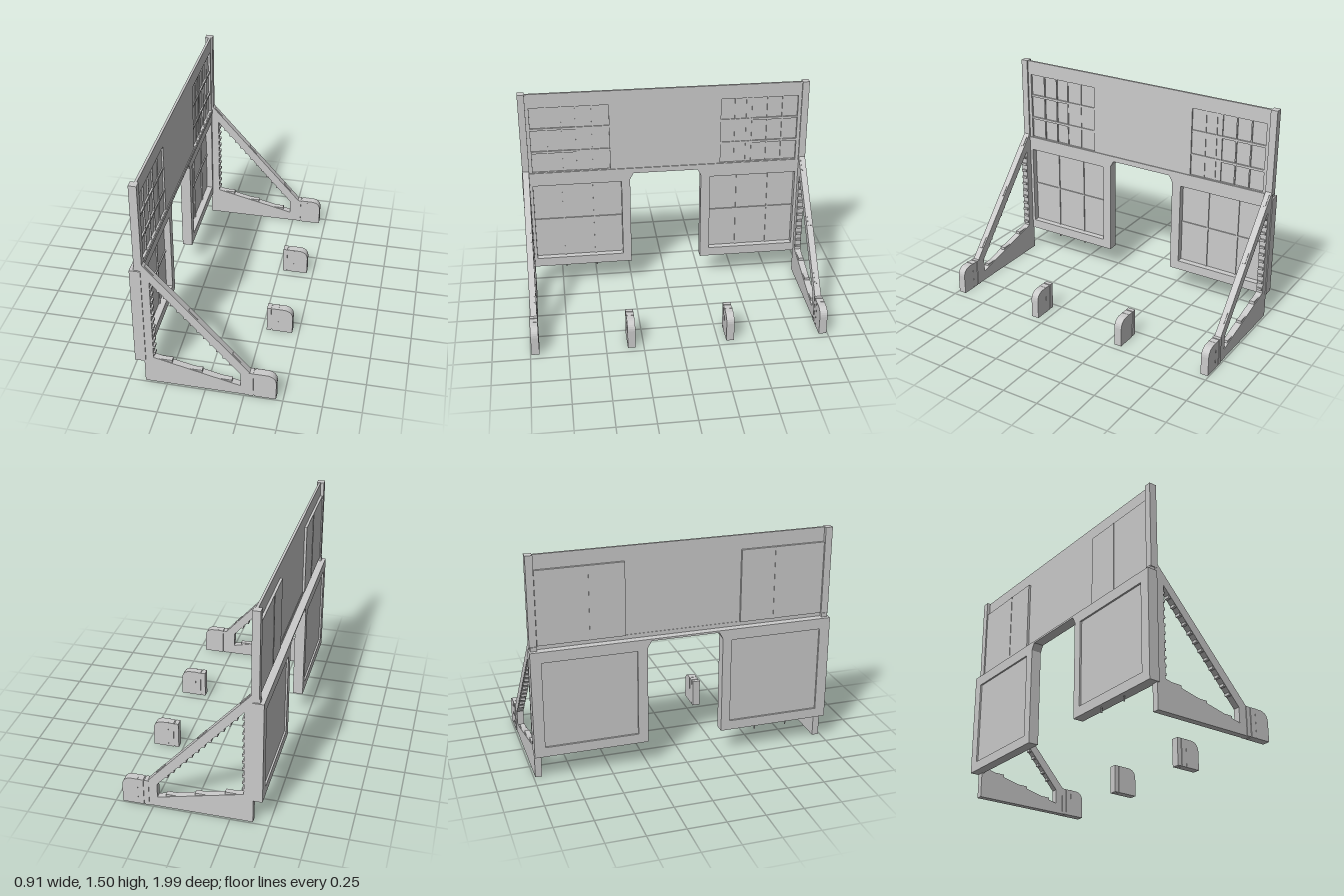
import * as THREE from 'three';

const mat = new THREE.MeshStandardMaterial({ color: 0xcccccc, flatShading: true });

function mesh(parent, name, geo) {
  const m = new THREE.Mesh(geo, mat);
  m.name = name;
  parent.add(m);
  return m;
}

// Box given by its limits on each axis
function box(parent, name, x0, x1, y0, y1, z0, z1) {
  const m = mesh(parent, name, new THREE.BoxGeometry(x1 - x0, y1 - y0, Math.abs(z1 - z0)));
  m.position.set((x0 + x1) / 2, (y0 + y1) / 2, (z0 + z1) / 2);
  return m;
}

const poly = (pts) => pts.map(([a, b]) => new THREE.Vector2(a, b));
const rect = (a0, a1, b0, b1) => [[a0, b0], [a1, b0], [a1, b1], [a0, b1]];

function plate(pts, holes, depth) {
  const s = new THREE.Shape(poly(pts));
  holes.forEach((h) => s.holes.push(new THREE.Path(poly(h))));
  return new THREE.ExtrudeGeometry(s, { depth, bevelEnabled: false });
}

// Plate drawn in (z, y), running from x0 to x1
function wallPlate(parent, name, pts, holes, x0, x1) {
  const m = mesh(parent, name, plate(pts, holes, x1 - x0).rotateY(-Math.PI / 2));
  m.position.x = x1;
}

// Rounded foot block with a narrow rear spacer
function foot(parent, z0, z1) {
  const g = new THREE.Group();
  g.name = 'foot';
  const s = new THREE.Shape();
  s.moveTo(0.315, 0);
  s.lineTo(0.455, 0);
  s.lineTo(0.455, 0.13);
  s.quadraticCurveTo(0.452, 0.183, 0.4, 0.19);
  s.lineTo(0.315, 0.19);
  s.closePath();
  const body = new THREE.ExtrudeGeometry(s, { depth: z1 - z0, bevelEnabled: false, curveSegments: 6 });
  mesh(g, 'footBlock', body).position.z = z0;
  box(g, 'footSpacer', 0.28, 0.308, 0, 0.19, z0, z1);
  box(g, 'footJoint', 0.3, 0.32, 0.004, 0.184, z0 + 0.005, z1 - 0.005);
  box(g, 'footBand', 0.352, 0.358, 0, 0.192, z0 - 0.001, z1 + 0.001);
  parent.add(g);
}

// Triangular side brace with pegs and blocks round its opening
function brace(parent, side) {
  const g = new THREE.Group();
  g.name = side > 0 ? 'frontBrace' : 'backBrace';
  const zc = side * 0.967;
  const frame = plate(
    [[-0.395, 0], [0.285, 0], [0.285, 0.19], [-0.375, 0.935], [-0.395, 0.935]],
    [[[-0.335, 0.205], [0.225, 0.07], [0.225, 0.17], [-0.335, 0.81]]], 0.044);
  mesh(g, 'braceFrame', frame).position.z = zc - 0.022;
  for (let i = 0; i < 11; i++) {
    const y = 0.235 + i * 0.0525;
    box(g, 'postPeg', -0.337, -0.323, y - 0.008, y + 0.008, zc - 0.018, zc + 0.018);
  }
  for (let i = 0; i < 12; i++) {
    const x = -0.285 + i * 0.0405;
    const y = 0.81 - (x + 0.335) * (0.64 / 0.56);
    box(g, 'strutPeg', x - 0.008, x + 0.012, y - 0.012, y + 0.005, zc - 0.018, zc + 0.018);
  }
  // Flat-topped steps on the sloping base
  [[-0.3, -0.215], [-0.1, -0.022], [0.095, 0.17]].forEach(([a, b]) => {
    const slope = (x) => 0.205 - (x + 0.335) * (0.135 / 0.56);
    const step = plate([[a, slope(a) - 0.003], [b, slope(b) - 0.003], [b, slope(a)], [a, slope(a)]], [], 0.034);
    mesh(g, 'baseStep', step).position.z = zc - 0.017;
  });
  // Raised strips along the strut
  [0.06, 0.46, 0.87].forEach((t) => {
    const strip = box(g, 'strutStrip', -0.04, 0.04, -0.004, 0.004, -0.012, 0.012);
    strip.position.set(-0.375 + 0.66 * t, 0.935 - 0.745 * t, zc);
    strip.rotation.z = Math.atan2(-0.745, 0.66);
  });
  foot(g, zc - 0.026, zc + 0.026);
  parent.add(g);
}

// Upper window: back shutter, glazing bars and sash edge
function upperWindow(parent, side, bars, sash) {
  const g = new THREE.Group();
  g.name = 'upperWindow';
  box(g, 'windowShutter', -0.418, -0.401, 0.915, 1.4, side * 0.38, side * 0.94);
  box(g, 'sashPanel', -0.402, -0.397, 0.918, 1.395, side * 0.385, sash);
  bars.forEach((z) => box(g, 'verticalBar', -0.402, -0.392, 0.918, 1.395, z - 0.004, z + 0.004));
  [1.065, 1.235].forEach((y) =>
    box(g, 'crossBar', -0.402, -0.39, y - 0.008, y + 0.008, side * 0.385, side * 0.92));
  box(g, 'shutterSeam', -0.421, -0.415, 0.915, 1.4, sash - 0.005, sash + 0.005);
  parent.add(g);
}

export function createModel() {
  const root = new THREE.Group();
  root.name = 'gateWall';

  // Upper wall with two window openings and end posts
  wallPlate(root, 'upperWall', rect(-0.95, 0.95, 0.885, 1.495),
    [rect(0.385, 0.92, 0.918, 1.395), rect(-0.92, -0.385, 0.918, 1.395)], -0.402, -0.386);
  upperWindow(root, 1, [0.81, 0.705, 0.61, 0.5], 0.61);
  upperWindow(root, -1, [-0.485, -0.565, -0.605, -0.71, -0.815], -0.605);
  for (const s of [1, -1]) {
    box(root, 'upperPost', -0.425, -0.375, 0.91, 1.497, s * 0.943, s * 0.99);
    box(root, 'postTenon', -0.43, -0.38, 0.88, 0.915, s * 0.945, s * 0.985);
  }
  box(root, 'wallSill', -0.405, -0.38, 0.888, 0.915, -0.945, 0.945);

  // Lower frame with doorway and two panel openings
  wallPlate(root, 'lowerFrame', [
    [-0.995, 0.17], [-0.25, 0.17], [-0.25, 0.83], [-0.225, 0.875], [0.225, 0.875],
    [0.25, 0.83], [0.25, 0.17], [0.995, 0.17], [0.995, 0.888], [-0.995, 0.888],
  ], [rect(0.31, 0.925, 0.235, 0.815), rect(-0.925, -0.315, 0.235, 0.815)], -0.455, -0.385);

  // Lower panels and their bars
  for (const s of [1, -1]) {
    box(root, 'lowerPanel', -0.443, -0.428, 0.23, 0.82, s * 0.305, s * 0.93);
    box(root, 'panelCrossBar', -0.43, -0.42, 0.525, 0.535, s * 0.31, s * 0.925);
  }
  [0.72, 0.505, -0.515, -0.74].forEach((z) =>
    box(root, 'panelBar', -0.43, -0.42, 0.235, 0.815, z - 0.005, z + 0.005));

  // Drop bolts under one panel
  [0.72, 0.5].forEach((z) => {
    const bolt = mesh(root, 'dropBolt', new THREE.CylinderGeometry(0.005, 0.005, 0.05, 8));
    bolt.position.set(-0.425, 0.16, z);
  });

  // Braces and separate inner feet
  brace(root, 1);
  brace(root, -1);
  foot(root, 0.305, 0.357);
  foot(root, -0.358, -0.306);
  return root;
}
